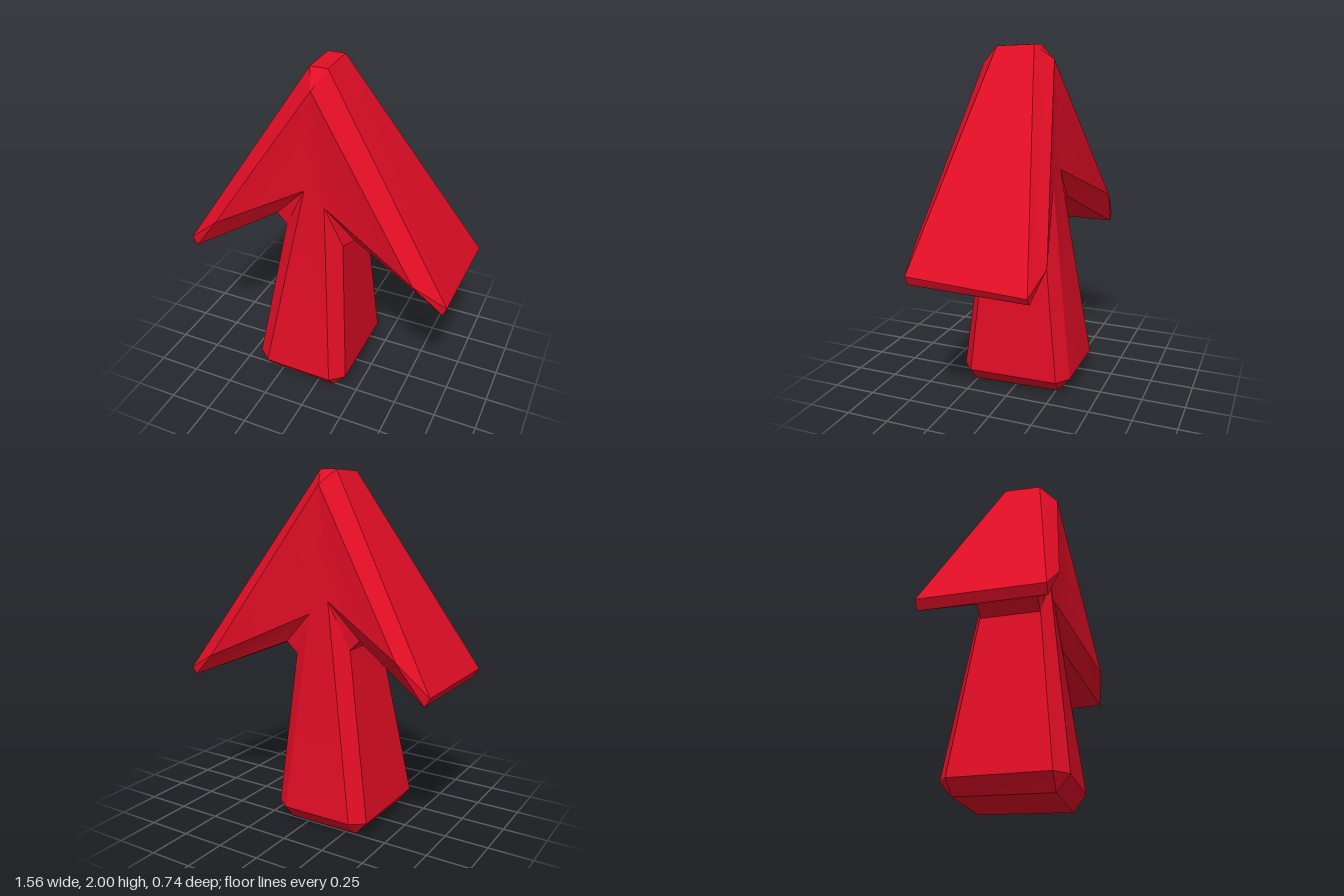
import * as THREE from 'three';
import { toCreasedNormals } from 'three/addons/utils/BufferGeometryUtils.js';

// Corners of the arrow, counter-clockwise seen from the front:
// apex, wing, crotch, base, base, crotch, wing.
// face: corner on the broad face; a, b: the two bevel points on the rim.
const frontCorners = [
  { face: [-0.03, 1.9, 0.24], a: [0.02, 1.99, 0.14], b: [-0.08, 1.99, 0.14] },
  { face: [-0.59, 1.06, 0.355], a: [-0.78, 0.9, 0.33], b: [-0.75, 0.85, 0.33] },
  { face: [-0.1, 1.3, 0.2], a: [-0.29, 1.1, 0.17], b: [-0.23, 1.04, 0.17] },
  { face: [-0.32, 0.1, 0.33], a: [-0.4, 0.1, 0.26], b: [-0.33, 0.01, 0.26] },
  { face: [0.1, 0.09, 0.33], a: [0.1, 0, 0.26], b: [0.18, 0.09, 0.26] },
  { face: [0.02, 1.22, 0.2], a: [0.12, 0.98, 0.17], b: [0.19, 1.04, 0.17] },
  { face: [0.6, 0.98, 0.37], a: [0.76, 0.82, 0.33], b: [0.78, 0.87, 0.33] },
];
const backCorners = [
  { face: [-0.03, 1.92, -0.18], a: [0.02, 2, -0.08], b: [-0.08, 2, -0.08] },
  { face: [-0.6, 1.06, -0.36], a: [-0.78, 0.9, -0.335], b: [-0.75, 0.85, -0.335] },
  { face: [-0.1, 1.3, -0.2], a: [-0.29, 1.1, -0.18], b: [-0.23, 1.04, -0.18] },
  { face: [-0.32, 0.1, -0.34], a: [-0.4, 0.1, -0.28], b: [-0.33, 0.02, -0.27] },
  { face: [0.1, 0.1, -0.34], a: [0.1, 0.015, -0.27], b: [0.18, 0.1, -0.28] },
  { face: [0.02, 1.22, -0.2], a: [0.12, 0.98, -0.18], b: [0.19, 1.04, -0.18] },
  { face: [0.6, 0.94, -0.37], a: [0.75, 0.8, -0.335], b: [0.78, 0.84, -0.335] },
];

// Broad face split into the head and the shaft
const faceTriangles = [[0, 1, 2], [0, 2, 5], [0, 5, 6], [2, 3, 4], [2, 4, 5]];

function arrowGeometry() {
  const positions = [];
  const tri = (a, b, c) => positions.push(...a, ...b, ...c);
  const quad = (a, b, c, d) => { tri(a, b, c); tri(a, c, d); };
  const count = frontCorners.length;

  // Broad faces with their bevels, back wound the other way
  for (const [corners, flip] of [[frontCorners, false], [backCorners, true]]) {
    const put = (a, b, c) => (flip ? tri(a, c, b) : tri(a, b, c));
    for (const [i, j, k] of faceTriangles) put(corners[i].face, corners[j].face, corners[k].face);
    corners.forEach((c, i) => {
      const n = corners[(i + 1) % count];
      put(c.face, c.a, c.b);
      put(c.face, c.b, n.a);
      put(c.face, n.a, n.face);
    });
  }

  // Rim: a narrow strip at each corner, a wide side between corners
  for (let i = 0; i < count; i++) {
    const f = frontCorners[i], k = backCorners[i];
    const fn = frontCorners[(i + 1) % count], kn = backCorners[(i + 1) % count];
    quad(f.a, k.a, k.b, f.b);
    quad(f.b, k.b, kn.a, fn.a);
  }

  const geometry = new THREE.BufferGeometry();
  geometry.setAttribute('position', new THREE.Float32BufferAttribute(positions, 3));
  return toCreasedNormals(geometry, 0.45);
}

export function createModel() {
  const red = new THREE.MeshStandardMaterial({ color: 0xe00d25 });
  red.name = 'red';
  const arrow = new THREE.Mesh(arrowGeometry(), red);
  arrow.name = 'arrow';
  const group = new THREE.Group();
  group.name = 'upArrow';
  group.add(arrow);
  return group;
}
